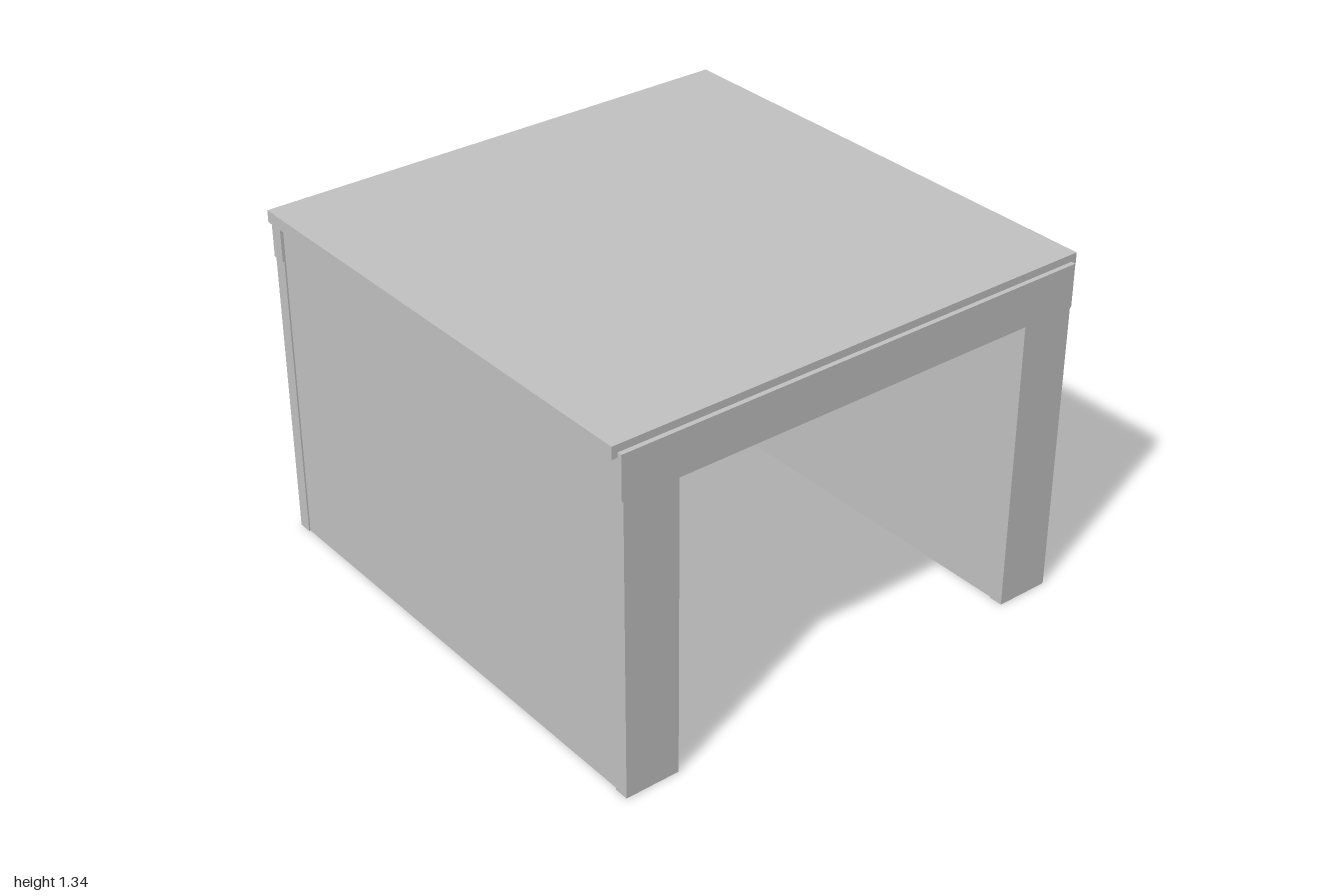
import * as THREE from 'three';

const concrete = new THREE.MeshStandardMaterial({ color: 0xc0c0c0 });
concrete.name = 'concreteGrey';

// Box given by its lower and upper corners
function block(name, [x0, y0, z0], [x1, y1, z1]) {
  const mesh = new THREE.Mesh(new THREE.BoxGeometry(x1 - x0, y1 - y0, z1 - z0), concrete);
  mesh.position.set((x0 + x1) / 2, (y0 + y1) / 2, (z0 + z1) / 2);
  mesh.name = name;
  return mesh;
}

// Arch-shaped section (two legs and a crossbeam) extruded along z
function portal(name, outer, inner, soffit, top, z0, z1) {
  const shape = new THREE.Shape([
    [-outer, 0], [-inner, 0], [-inner, soffit], [inner, soffit],
    [inner, 0], [outer, 0], [outer, top], [-outer, top],
  ].map(([x, y]) => new THREE.Vector2(x, y)));
  const geometry = new THREE.ExtrudeGeometry(shape, { depth: z1 - z0, bevelEnabled: false });
  const mesh = new THREE.Mesh(geometry, concrete);
  mesh.position.z = z0;
  mesh.name = name;
  return mesh;
}

export function createModel() {
  const model = new THREE.Group();
  model.name = 'openShelter';

  // Side walls and ceiling, set back slightly from the end frames
  model.add(portal('wallsAndCeiling', 0.948, 0.745, 1.146, 1.3, -0.945, 0.945));

  // End frames: two pillars carrying a slightly wider lintel
  for (const [end, z0, z1] of [['front', 0.945, 1], ['back', -1, -0.945]]) {
    for (const [side, x0, x1] of [['Left', 0.74, 0.954], ['Right', -0.954, -0.74]]) {
      model.add(block(`${end}${side}Pillar`, [x0, 0, z0], [x1, 1.14, z1]));
    }
    model.add(block(`${end}Lintel`, [-0.96, 1.14, z0], [0.96, 1.307, z1]));
  }

  // Flat roof slab overhanging the sides
  model.add(block('roofSlab', [-0.982, 1.289, -0.982], [0.982, 1.335, 0.982]));
  return model;
}
